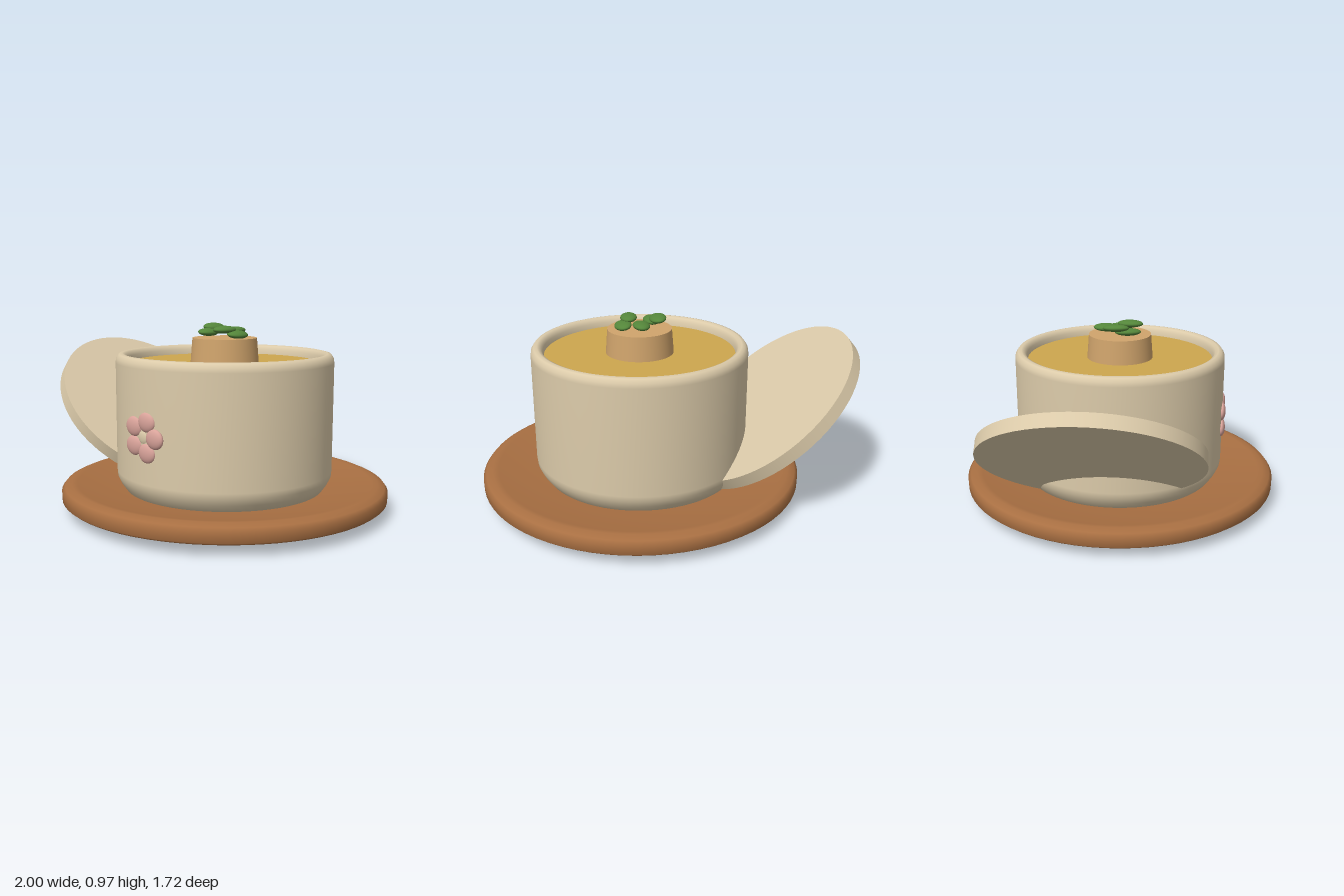
import * as THREE from 'three';

const mat = (name, color) => {
  const m = new THREE.MeshStandardMaterial({ color });
  m.name = name;
  return m;
};

export function createModel() {
  const clay = mat('cream clay', 0xdccbaa);
  const wood = mat('brown wood', 0xa86f42);
  const filling = mat('golden filling', 0xcda64e);
  const tan = mat('tan knob', 0xd0a46c);
  const green = mat('leaf green', 0x54863a);
  const pink = mat('petal pink', 0xd9a39a);

  const model = new THREE.Group();
  // everything but the lid shares one vertical axis
  const dish = new THREE.Group();
  dish.name = 'dish';
  dish.position.x = 0.138;
  model.add(dish);

  const add = (parent, name, geometry, material, x = 0, y = 0, z = 0) => {
    const mesh = new THREE.Mesh(geometry, material);
    mesh.name = name;
    mesh.position.set(x, y, z);
    parent.add(mesh);
    return mesh;
  };
  const lathe = (points) =>
    new THREE.LatheGeometry(points.map(([r, y]) => new THREE.Vector2(r, y)), 72);

  // shallow wooden saucer with a rounded rim
  add(dish, 'saucer', lathe([
    [0, 0], [0.3, 0], [0.6, 0], [0.845, 0.056], [0.86, 0.068], [0.861, 0.115],
    [0.845, 0.135], [0.81, 0.15], [0.78, 0.146], [0.56, 0.11], [0.3, 0.1], [0, 0.1],
  ]), wood);

  // pot with rounded foot, lip and inner wall
  add(dish, 'pot', lathe([
    [0, 0.095], [0.49, 0.095], [0.525, 0.11], [0.55, 0.145], [0.567, 0.18], [0.57, 0.21],
    [0.57, 0.5], [0.57, 0.775], [0.567, 0.798], [0.553, 0.818], [0.535, 0.822],
    [0.518, 0.815], [0.507, 0.795], [0.502, 0.765], [0.5, 0.72],
  ]), clay);

  add(dish, 'filling', new THREE.CylinderGeometry(0.504, 0.504, 0.04, 72), filling, 0, 0.75);

  // central knob
  add(dish, 'knob', new THREE.CylinderGeometry(0.169, 0.18, 0.14, 48), tan, 0, 0.828);

  // leaves on the knob: x, y, z, turn
  const leaf = new THREE.SphereGeometry(1, 24, 16);
  leaf.scale(0.044, 0.02, 0.07);
  [
    [-0.093, 0.95, -0.015, 0.05, -0.15],
    [-0.072, 0.926, 0.048, 0.15, -0.1],
    [0.002, 0.932, -0.074, 0, 0.05],
    [0.05, 0.943, 0.053, -0.08, -0.05],
    [0.088, 0.918, -0.003, 0.1, -0.2],
  ].forEach(([x, y, z, turn, tilt]) => {
    add(dish, 'leaf', leaf, green, x, y, z).rotation.set(0, turn, tilt);
  });

  // five-petal flower on the front of the pot
  const petal = new THREE.SphereGeometry(1, 28, 18);
  petal.scale(0.058, 0.05, 0.022);
  for (let i = 0; i < 5; i++) {
    const a = (i * Math.PI * 2) / 5;
    add(dish, 'petal', petal, pink, 0.08 * Math.cos(a), 0.445 + 0.08 * Math.sin(a), 0.563);
  }
  const heart = new THREE.SphereGeometry(1, 20, 14);
  heart.scale(0.035, 0.035, 0.012);
  add(dish, 'flowerHeart', heart, clay, 0, 0.445, 0.564);

  // lid leaning against the side of the pot
  const tilt = 0.705;
  const half = 0.034;
  const lid = add(model, 'lid', new THREE.CylinderGeometry(0.56, 0.56, half * 2, 72), clay,
    -0.53 - half * Math.sin(tilt), 0.475 - half * Math.cos(tilt), -0.083);
  lid.rotation.z = -tilt;

  return model;
}
